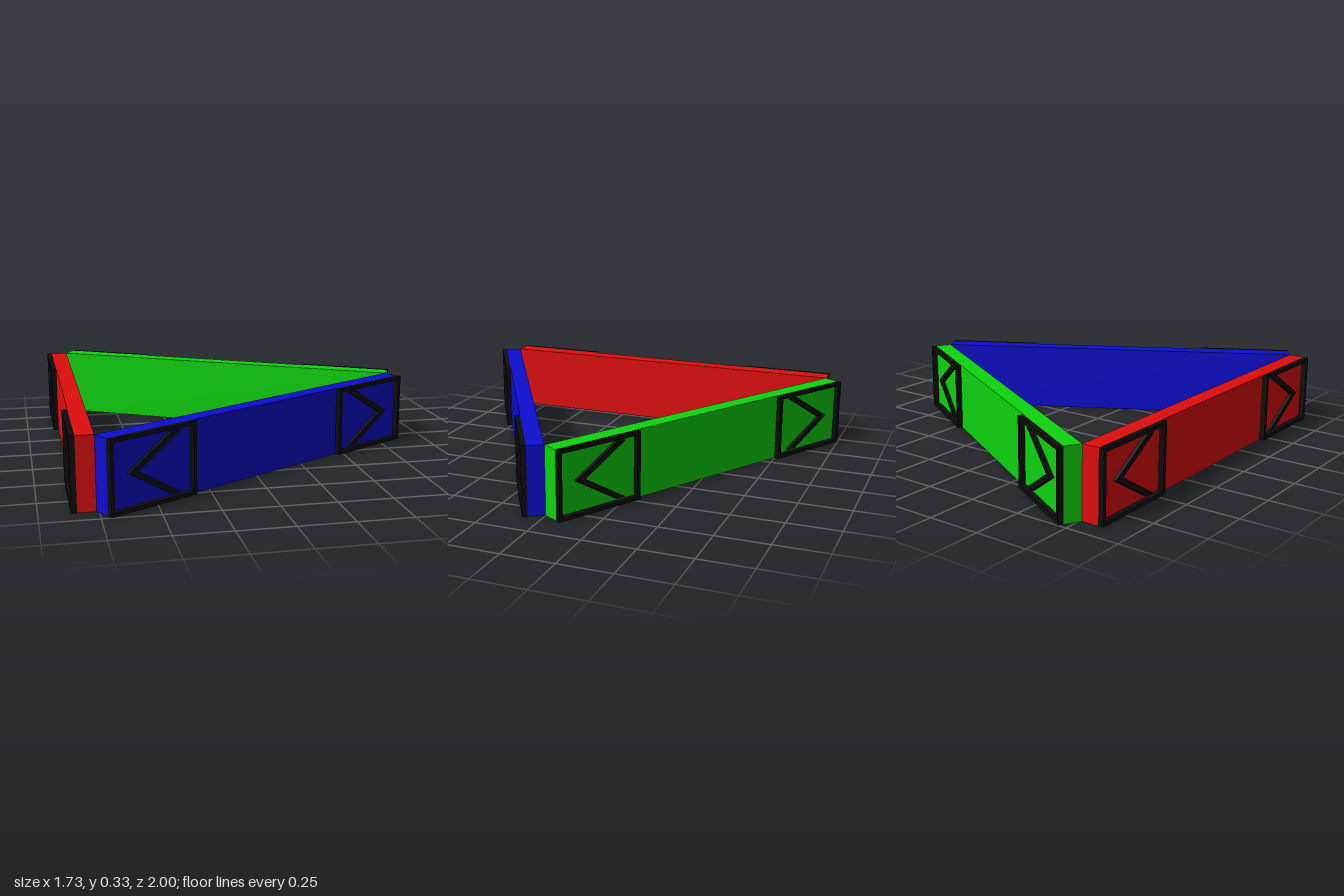
import * as THREE from 'three';

const LEN = 1.818, HEIGHT = 0.33, THICK = 0.08;
const FRAME_W = 0.455, FRAME_D = 0.025, BORDER = 0.018, CHEVRON_D = 0.015;
const INRADIUS = LEN / (2 * Math.sqrt(3));

const black = new THREE.MeshStandardMaterial({ color: 0x0d0d0d });

function polygon(points, Type = THREE.Shape) {
  return new Type(points.map(([x, y]) => new THREE.Vector2(x, y)));
}

function addMesh(parent, name, geometry, material) {
  const mesh = new THREE.Mesh(geometry, material);
  mesh.name = name;
  parent.add(mesh);
  return mesh;
}

// Rectangular border, starting at x = 0 and running inward along the bar
function frameGeometry() {
  const w = FRAME_W, h = HEIGHT, b = BORDER;
  const shape = polygon([[0, 0], [w, 0], [w, h], [0, h]]);
  shape.holes.push(polygon([[b, b], [b, h - b], [w - b, h - b], [w - b, b]], THREE.Path));
  return new THREE.ExtrudeGeometry(shape, { depth: FRAME_D, bevelEnabled: false });
}

// Arrowhead pointing to -x, its arms cut level at top and bottom
function chevronGeometry() {
  const tip = 0.098, end = 0.322, t = 0.052, mid = HEIGHT / 2, low = 0.03, high = HEIGHT - 0.03;
  const shape = polygon([
    [tip, mid], [end, low], [end + t, low], [tip + t, mid], [end + t, high], [end, high],
  ]);
  return new THREE.ExtrudeGeometry(shape, { depth: CHEVRON_D, bevelEnabled: false });
}

// One side of the triangle: coloured bar with an arrow panel at each end
function createSide(name, color, frame, chevron) {
  const side = new THREE.Group();
  side.name = name;
  const bar = addMesh(side, 'bar', new THREE.BoxGeometry(LEN, HEIGHT, THICK),
    new THREE.MeshStandardMaterial({ color }));
  bar.position.set(0, HEIGHT / 2, INRADIUS + THICK / 2);

  for (const end of [-1, 1]) {
    const panel = new THREE.Group();
    panel.name = end < 0 ? 'rightArrowPanel' : 'leftArrowPanel';
    addMesh(panel, 'panelFrame', frame, black);
    addMesh(panel, 'chevron', chevron, black);
    // Both shapes are symmetric in y, so a half turn about z mirrors the panel
    if (end > 0) panel.rotation.z = Math.PI;
    panel.position.set(end * LEN / 2, end > 0 ? HEIGHT : 0, INRADIUS + THICK);
    side.add(panel);
  }
  return side;
}

export function createModel() {
  const model = new THREE.Group();
  model.name = 'triangleFrame';
  const frame = frameGeometry(), chevron = chevronGeometry();
  const sides = [
    ['blueSide', 0x0d0dd0, 30],
    ['greenSide', 0x0dd40d, 150],
    ['redSide', 0xe00d0d, -90],
  ];
  for (const [name, color, degrees] of sides) {
    const side = createSide(name, color, frame, chevron);
    side.rotation.y = THREE.MathUtils.degToRad(degrees);
    side.position.x = -0.236; // centres the outline on x = 0
    model.add(side);
  }
  return model;
}
